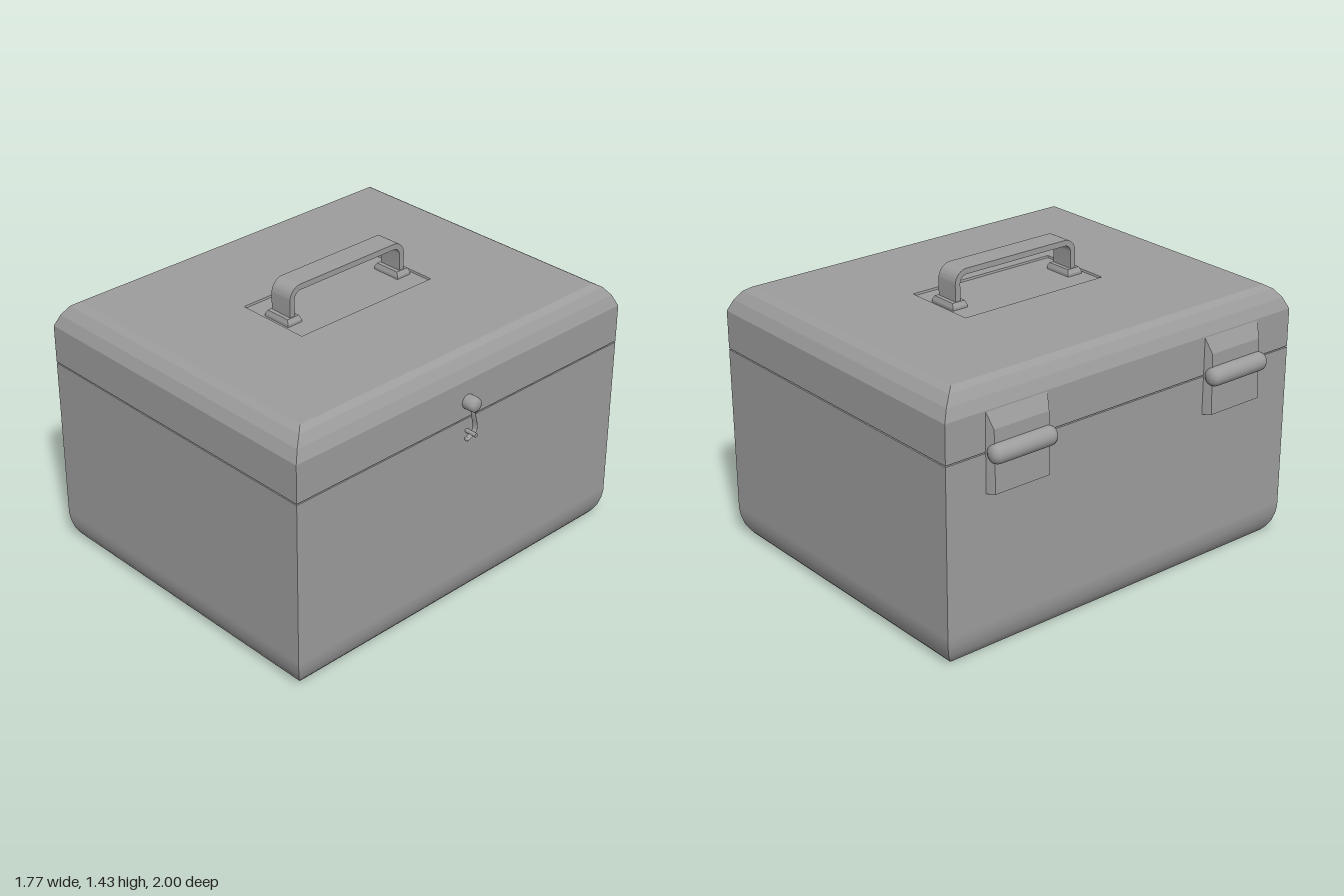
import * as THREE from 'three';
import { toCreasedNormals } from 'three/addons/utils/BufferGeometryUtils.js';

const grey = new THREE.MeshStandardMaterial({ color: 0x9d9d9d });

function add(parent, name, geometry, crease = 0.55) {
  const mesh = new THREE.Mesh(toCreasedNormals(geometry, crease), grey);
  mesh.name = name;
  parent.add(mesh);
  return mesh;
}

// Capped stack of rectangles, bottom to top; each section is [y, x0, x1, z0, z1]
function loft(sections) {
  const pos = [], index = [];
  for (const [y, x0, x1, z0, z1] of sections)
    pos.push(x0, y, z1, x1, y, z1, x1, y, z0, x0, y, z0);
  for (let i = 0; i < sections.length - 1; i++)
    for (let j = 0; j < 4; j++) {
      const a = i * 4 + j, b = i * 4 + (j + 1) % 4;
      index.push(a, b, b + 4, a, b + 4, a + 4);
    }
  const t = (sections.length - 1) * 4;
  index.push(0, 2, 1, 0, 3, 2, t, t + 1, t + 2, t, t + 2, t + 3);
  const g = new THREE.BufferGeometry();
  g.setAttribute('position', new THREE.Float32BufferAttribute(pos, 3));
  g.setIndex(index);
  return g;
}

// Box outline pulled inwards by dx and dz
const inset = (y, dx, dz = dx) => [y, -0.8 + dx, 0.82 - dx, -1 + dz, 1 - dz];

// Solid of revolution along y from [radius, y] pairs
const lathe = (points) =>
  new THREE.LatheGeometry(points.map(([r, y]) => new THREE.Vector2(r, y)), 18);

// Outline of the handle strap, an upside-down U with rounded corners
function handleShape() {
  const s = new THREE.Shape();
  const w = 0.352, top = 1.43, base = 1.255, r = 0.065, t = 0.028;
  s.moveTo(w, base);
  s.lineTo(w, top - r);
  s.absarc(w - r, top - r, r, 0, Math.PI / 2, false);
  s.absarc(-w + r, top - r, r, Math.PI / 2, Math.PI, false);
  s.lineTo(-w, base);
  s.lineTo(-w + t, base);
  s.absarc(-w + r, top - r, r - t, Math.PI, Math.PI / 2, true);
  s.absarc(w - r, top - r, r - t, Math.PI / 2, 0, true);
  s.lineTo(w - t, base);
  s.closePath();
  return s;
}

// Hinge leaf against the wall, flaring towards it
function hingePlate() {
  const s = new THREE.Shape([
    [-0.79, 1.16], [-0.833, 1.067], [-0.842, 0.775], [-0.79, 0.767],
  ].map(([x, y]) => new THREE.Vector2(x, y)));
  const g = new THREE.ExtrudeGeometry(s, { depth: 0.34, bevelEnabled: false });
  g.translate(0, 0, -0.17);
  const p = g.attributes.position;
  for (let i = 0; i < p.count; i++)
    if (p.getX(i) < -0.81) p.setZ(i, p.getZ(i) * 0.87);
  return g;
}

export function createModel() {
  const model = new THREE.Group();
  model.name = 'box';

  // Lower box with rounded bottom edges; the close pair of rings keeps the walls flat
  add(model, 'body', loft([
    inset(0, 0.052), inset(0.018, 0.037), inset(0.05, 0.018),
    inset(0.095, 0.005), inset(0.135, 0), inset(0.15, 0), inset(0.954, 0),
  ]));
  // Deep narrow seam between body and lid
  add(model, 'seam', loft([inset(0.94, 0.03), inset(0.975, 0.03)]));
  // Lid with faceted top edges and a shallow recess under the handle
  add(model, 'lid', loft([
    inset(0.96, 0), inset(1.145, 0), inset(1.2, 0.022, 0.026),
    inset(1.243, 0.05, 0.062), inset(1.263, 0.08, 0.095),
    [1.263, -0.18, 0.2, -0.4, 0.4], [1.253, -0.178, 0.198, -0.398, 0.398],
  ]), 0.1);

  // Carrying handle with two tapered feet
  const handle = new THREE.Group();
  handle.name = 'handle';
  model.add(handle);
  const strap = new THREE.ExtrudeGeometry(handleShape(),
    { depth: 0.12, bevelEnabled: false, curveSegments: 6 });
  strap.rotateY(-Math.PI / 2).translate(0.072, 0, 0);
  add(handle, 'handleStrap', strap);
  for (const z of [-0.338, 0.338])
    add(handle, 'handleFoot', loft([
      [1.25, -0.064, 0.088, z - 0.041, z + 0.041],
      [1.265, -0.064, 0.088, z - 0.041, z + 0.041],
      [1.285, -0.053, 0.077, z - 0.034, z + 0.034],
    ]), 0.2);

  // Two hinges on the right wall, each with a round-ended pin
  for (const z of [-0.625, 0.625]) {
    const hinge = new THREE.Group();
    hinge.name = 'hinge';
    hinge.position.z = z;
    add(hinge, 'hingePlate', hingePlate(), 0.2);
    const pin = lathe([
      [0, -0.174], [0.022, -0.171], [0.036, -0.162], [0.044, -0.149], [0.046, -0.135],
      [0.046, 0.135], [0.044, 0.149], [0.036, 0.162], [0.022, 0.171], [0, 0.174],
    ]);
    pin.rotateX(Math.PI / 2).translate(-0.839, 0.96, 0);
    add(hinge, 'hingePin', pin);
    model.add(hinge);
  }

  // Hook latch on the left wall
  const latch = new THREE.Group();
  latch.name = 'latch';
  model.add(latch);
  const knob = lathe([
    [0, 0.81], [0.033, 0.81], [0.035, 0.825], [0.035, 0.862], [0.031, 0.874],
    [0.022, 0.88], [0, 0.882],
  ]);
  knob.rotateZ(-Math.PI / 2).translate(0, 1.04, 0);
  add(latch, 'latchKnob', knob, 0.8);
  const path = new THREE.CatmullRomCurve3([
    [1.03, 0], [0.98, -0.008], [0.925, -0.02], [0.9, -0.017], [0.885, 0.003], [0.874, 0.03],
  ].map(([y, z]) => new THREE.Vector3(0.85, y, z)));
  const hook = new THREE.TubeGeometry(path, 18, 0.008, 8);
  hook.translate(-0.85, 0, 0).scale(1.7, 1, 1).translate(0.85, 0, 0);
  add(latch, 'latchHook', hook, 1);
  const tip = new THREE.SphereGeometry(0.009, 10, 8);
  add(latch, 'hookTip', tip.scale(1.6, 1, 1).translate(0.85, 0.874, 0.03), 1);
  const post = new THREE.CylinderGeometry(0.01, 0.01, 0.065, 12);
  add(latch, 'latchPost', post.rotateZ(Math.PI / 2).translate(0.846, 0.892, 0));

  return model;
}
